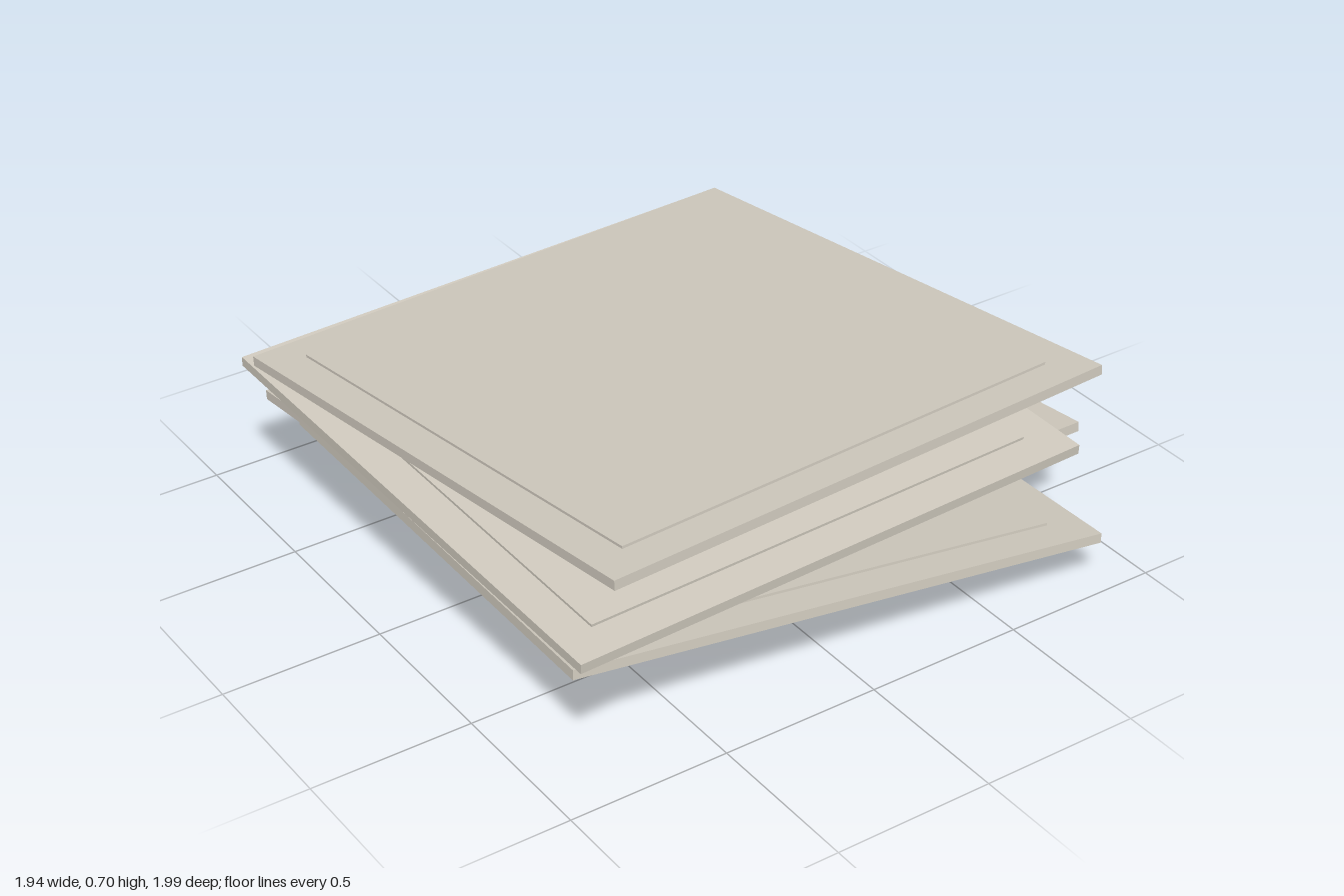
import * as THREE from 'three';

const SIZE = 1.735, THICK = 0.03, PANEL = 1.51, RAISE = 0.008;

// Upper-face corners of each slab, top of the stack first
const SLABS = [
  { backLeft: [-0.97, 0.55, -0.735], backRight: [0.76, 0.535, -0.857], frontLeft: [-0.85, 0.703, 0.99] },
  { backLeft: [-0.975, 0.515, -0.805], backRight: [0.76, 0.53, -0.865], frontLeft: [-0.915, 0.428, 0.93] },
  { backLeft: [-0.825, 0.265, -0.97], backRight: [0.905, 0.235, -1.0], frontLeft: [-0.79, 0.435, 0.76] },
  { backLeft: [-0.755, 0.187, -0.895], backRight: [0.97, 0.033, -0.762], frontLeft: [-0.88, 0.335, 0.83] },
];

export function createModel() {
  const stone = new THREE.MeshStandardMaterial({ color: 0xd3cdc1 });
  stone.name = 'warm grey';
  const slabGeometry = new THREE.BoxGeometry(SIZE, THICK, SIZE);
  slabGeometry.translate(0, -THICK / 2, 0);
  const panelGeometry = new THREE.BoxGeometry(PANEL, RAISE, PANEL);
  panelGeometry.translate(0, RAISE / 2, 0);

  const model = new THREE.Group();
  model.name = 'slabStack';

  SLABS.forEach(({ backLeft, backRight, frontLeft }, i) => {
    const [bl, br, fl] = [backLeft, backRight, frontLeft].map((p) => new THREE.Vector3(...p));
    // Tilted frame lying in the slab's upper face
    const x = br.clone().sub(bl).normalize();
    const y = fl.clone().sub(bl).cross(x).normalize();
    const z = x.clone().cross(y);

    const tile = new THREE.Group();
    tile.name = `tile${i + 1}`;
    tile.quaternion.setFromRotationMatrix(new THREE.Matrix4().makeBasis(x, y, z));
    tile.position.copy(br).add(fl).multiplyScalar(0.5);

    // Plain slab with a thin raised panel on top
    const slab = new THREE.Mesh(slabGeometry, stone);
    slab.name = 'slab';
    const panel = new THREE.Mesh(panelGeometry, stone);
    panel.name = 'raisedPanel';
    tile.add(slab, panel);
    model.add(tile);
  });

  return model;
}
